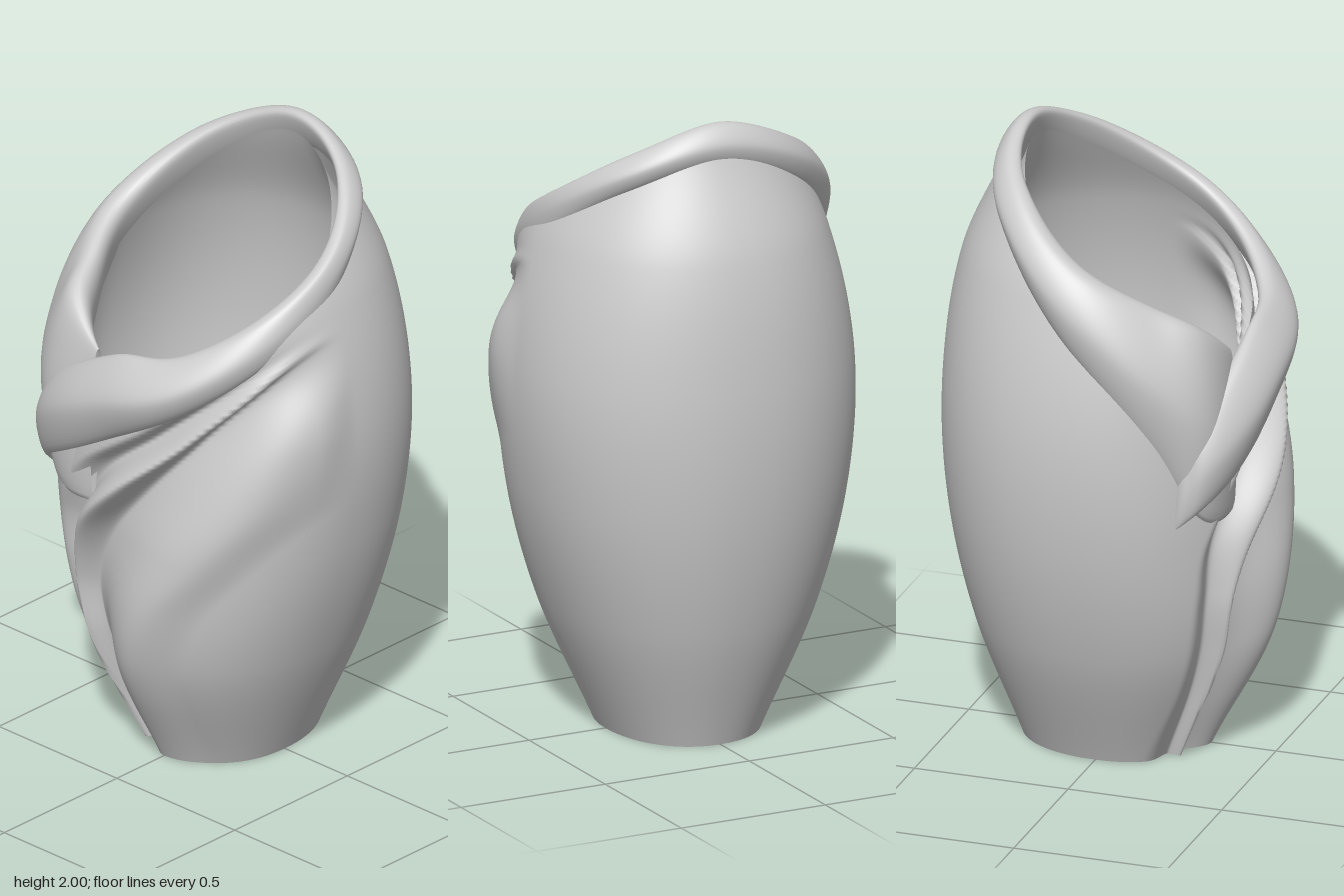
import * as THREE from 'three';

const { clamp, lerp, smoothstep, degToRad } = THREE.MathUtils;
const material = new THREE.MeshStandardMaterial({ color: 0xcccccc, side: THREE.DoubleSide });

// Smooth interpolation through evenly spaced values; open ends keep their slope
function sample(values, t, loop = false) {
  const n = values.length;
  const at = (i) => {
    if (loop) return values[(i + n) % n];
    if (i < 0) return 2 * values[0] - values[1];
    return values[Math.min(i, n - 1)];
  };
  if (!loop) t = clamp(t, 0, n - 1);
  const i = Math.floor(t), f = t - i;
  const [a, b, c, d] = [at(i - 1), at(i), at(i + 1), at(i + 2)];
  return b + 0.5 * f * (c - a + f * (2 * a - 5 * b + 4 * c - d + f * (3 * (b - c) + d - a)));
}

// Surface from a rule; u closes on itself, v runs from 0 to 1
function surface(name, rule, nu, nv, flip = false) {
  const pos = [], index = [];
  for (let j = 0; j <= nv; j++) {
    for (let i = 0; i < nu; i++) pos.push(...rule(i / nu, j / nv));
  }
  for (let j = 0; j < nv; j++) {
    for (let i = 0; i < nu; i++) {
      const k = (i + 1) % nu;
      const a = j * nu + i, b = j * nu + k, c = b + nu, d = a + nu;
      if (flip) index.push(a, d, b, b, d, c);
      else index.push(a, b, d, b, c, d);
    }
  }
  const geometry = new THREE.BufferGeometry();
  geometry.setAttribute('position', new THREE.Float32BufferAttribute(pos, 3));
  geometry.setIndex(index);
  geometry.computeVertexNormals();
  const mesh = new THREE.Mesh(geometry, material);
  mesh.name = name;
  return mesh;
}

// Body reach in four directions, every 0.4 in height
const reach = {
  right: [0.235, 0.405, 0.515, 0.545, 0.465, 0.28],
  left: [0.25, 0.43, 0.53, 0.545, 0.46, 0.29],
  back: [0.31, 0.45, 0.53, 0.545, 0.49, 0.33],
  front: [0.27, 0.455, 0.49, 0.46, 0.42, 0.3],
};
// Height of the slanted mouth, every 45 degrees from the front towards +x
const mouth = [1.34, 1.48, 1.68, 1.85, 1.94, 1.83, 1.58, 1.26];
// Sideways position of the two fold creases and width of the lower fold, every 0.2 in height
const upperCrease = [-0.15, -0.2, -0.25, -0.28, -0.27, -0.14, 0.13, 0.36, 0.48];
const lowerCrease = [-0.12, -0.165, -0.19, -0.195, -0.1, 0.08, 0.27, 0.43, 0.52];
const lowerWidth = [0.12, 0.17, 0.22, 0.31, 0.36, 0.32, 0.22, 0.12, 0.08];

// Swirling drapery folds as a push in or out of the wall
function foldDepth(x, y) {
  const e2 = sample(upperCrease, y / 0.2), e3 = sample(lowerCrease, y / 0.2);
  const w = sample(lowerWidth, y / 0.2);
  const bulge = 0.05 * Math.exp(-(((y - 0.97) / 0.22) ** 2));
  if (x < e2) return -0.06 * smoothstep(x, e2 - 0.07, e2);
  if (x < e3) {
    const t = (x - e2) / (e3 - e2);
    return t < 0.65 ? lerp(-0.06, bulge, smoothstep(t, 0, 0.65))
      : lerp(bulge, -0.065, smoothstep(t, 0.65, 1));
  }
  const q = x - e3;
  return q < w ? lerp(-0.065, 0.03, smoothstep(q, 0, w))
    : lerp(0.03, 0, smoothstep(q, w, w + 0.16));
}

function wallPoint(a, y, inset) {
  const s = Math.sin(a), c = Math.cos(a), t = y / 0.4;
  const rx = sample(s > 0 ? reach.right : reach.left, t);
  const rz = sample(c > 0 ? reach.front : reach.back, t);
  const n = 2.15;
  let r = (Math.abs(s / rx) ** n + Math.abs(c / rz) ** n) ** (-1 / n);
  const fade = smoothstep(c, 0, 0.3) * (1 - smoothstep(y, 1.2, 1.6)) * lerp(0.65, 1, smoothstep(y, 0, 0.4));
  r += foldDepth(r * s, y) * fade - inset;
  return [r * s, y, r * c];
}

// Columns crowd towards the front, where the folds are
const angle = (u) => {
  const t = (u * 2 - 1) * Math.PI;
  return t - 0.5 * Math.sin(t);
};
const wall = (inset) => (u, v) => {
  const a = angle(u);
  const y = v * sample(mouth, a / (Math.PI / 4) + 8, true);
  return wallPoint(a, y, inset(y));
};
// Wall thickness: thin at the foot, thickest at the floor, thinner again above
const floorHeight = 0.07;
const thickness = (y) => (y < floorHeight ? lerp(0.04, 0.09, smoothstep(y, 0, floorHeight))
  : lerp(0.09, 0.06, smoothstep(y, floorHeight, 0.6)));

// Collar stations from the front tip, round the back, to the tuck behind the tip
const collar = {
  turn: [-54, -50, -40, -8, 25, 77, 130, 180, 230, 273, 300, 318, 338],
  radius: [0.515, 0.535, 0.535, 0.465, 0.465, 0.44, 0.365, 0.33, 0.39, 0.465, 0.47, 0.5, 0.45],
  crest: [0.86, 1.1, 1.25, 1.41, 1.48, 1.7, 1.91, 2, 1.89, 1.69, 1.57, 1.49, 1.37],
  bulge: [0, 0.03, 0.06, 0.08, 0.07, 0.02, 0.045, 0.04, 0.05, 0.07, 0.1, 0.07, 0.02],
  drop: [0, 0.2, 0.28, 0.27, 0.18, 0.13, 0.11, 0.12, 0.15, 0.27, 0.46, 0.6, 0.5],
  inward: [0, 0.05, 0.07, 0.04, 0.05, 0.045, 0.035, 0.04, 0.05, 0.07, 0.07, 0.08, 0.02],
};

// Rounded section through crest, outer bulge, lower edge and inner edge
function collarPoint(u, v) {
  const [turn, radius, crest, bulge, drop, inward] =
    Object.values(collar).map((list) => sample(list, v * (list.length - 1)));
  const a = degToRad(turn);
  const corners = [
    [radius, crest],
    [radius + bulge, crest - drop / 2],
    [radius + bulge * 0.2, crest - drop],
    [radius - inward, crest - drop * 0.12],
  ].map(([r, y]) => new THREE.Vector3(r * Math.sin(a), y, r * Math.cos(a)));
  return new THREE.CatmullRomCurve3(corners, true, 'catmullrom', 0.55).getPoint(u).toArray();
}

export function createModel() {
  const group = new THREE.Group();
  group.name = 'drapedVase';

  // Outer and inner walls
  group.add(surface('outerWall', wall(() => 0), 288, 110));
  group.add(surface('innerWall', wall(thickness), 192, 90, true));

  // Foot ring and raised floor
  group.add(surface('footRing', (u, v) => wallPoint(angle(u), 0, thickness(0) * (1 - v)), 192, 1));
  group.add(surface('floor', (u, v) => {
    const [x, y, z] = wallPoint(angle(u), floorHeight, thickness(floorHeight));
    return [x * (1 - v), y, z * (1 - v)];
  }, 192, 1));

  // Rolled collar that wraps over itself at the front
  group.add(surface('rolledCollar', collarPoint, 32, 192));
  return group;
}
